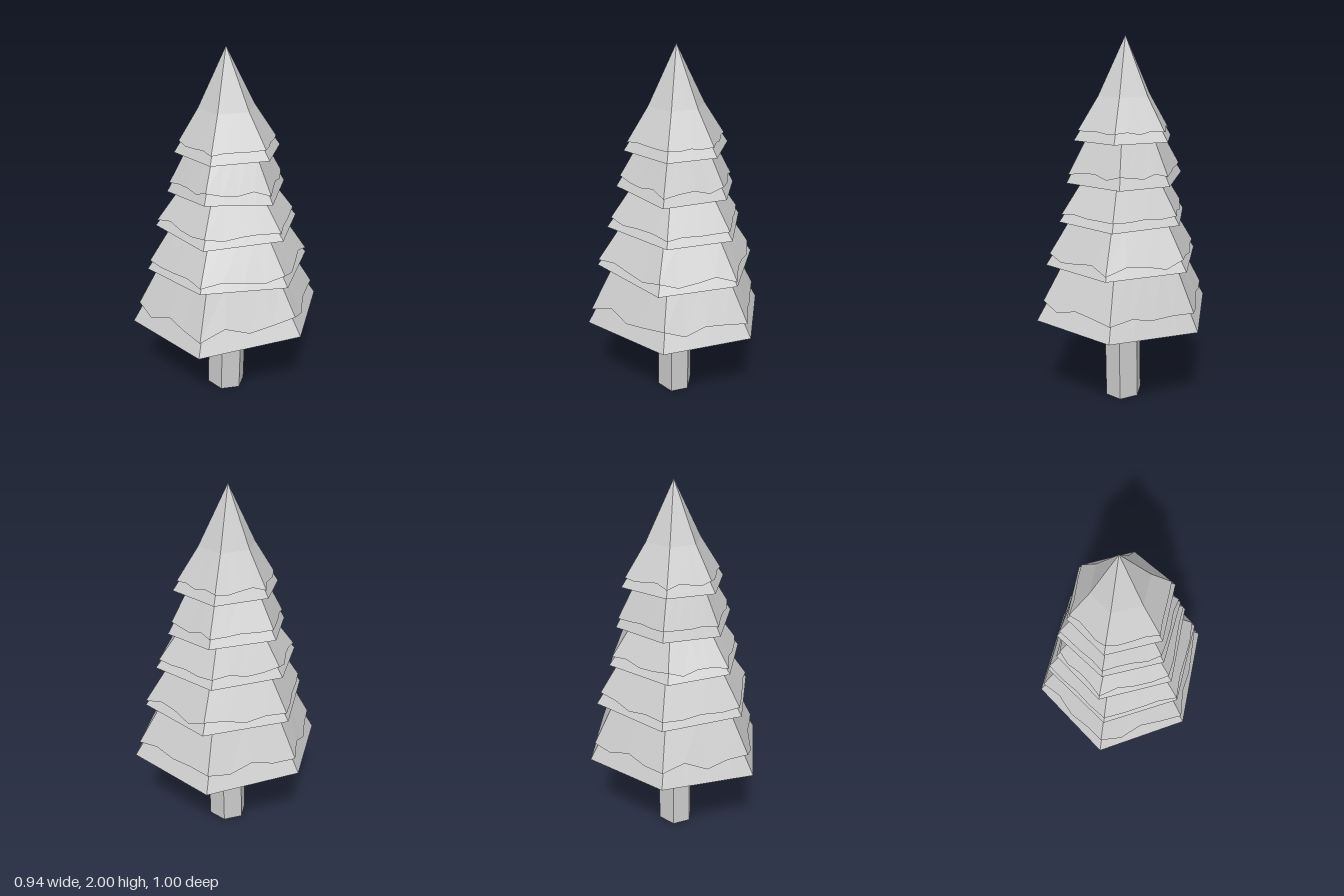
import * as THREE from 'three';

const SEG = 4; // points along each of the six sides
const N = 6 * SEG;
const AXIS = [-0.01, -0.01];

// Rim corners [x, z, lift], starting at the back and going round over +x.
const TIERS = [
  { y: 0.505, top: 0.83, taper: 0.71, snow: 0.605, jag: 0.028, rim: [
    [0, -0.5, 0], [0.455, -0.275, 0.03], [0.465, 0.21, 0.035], [-0.01, 0.5, 0], [-0.47, 0.26, 0], [-0.445, -0.25, 0.025]] },
  { y: 0.83, top: 1.06, taper: 0.7, snow: 0.875, jag: 0.02, rim: [
    [0.03, -0.44, 0], [0.4, -0.21, 0], [0.385, 0.21, 0], [-0.02, 0.43, 0.02], [-0.385, 0.22, 0], [-0.375, -0.22, 0]] },
  { y: 1.06, top: 1.27, taper: 0.65, snow: 1.105, jag: 0.013, rim: [
    [0, -0.37, 0], [0.335, -0.2, 0], [0.34, 0.15, 0.005], [-0.02, 0.37, 0.005], [-0.35, 0.16, 0.01], [-0.33, -0.17, 0]] },
  { y: 1.26, top: 1.48, taper: 0.67, snow: 1.315, jag: 0.013, rim: [
    [0.02, -0.32, 0], [0.265, -0.19, 0], [0.28, 0.15, 0], [-0.03, 0.31, 0.025], [-0.29, 0.13, 0], [-0.29, -0.18, 0.015]] },
  { y: 1.48, top: 1.7, taper: 0.53, snow: 1.53, jag: 0.012, peak: 2, rim: [
    [0, -0.29, 0], [0.245, -0.14, 0], [0.25, 0.12, 0], [-0.01, 0.27, 0], [-0.25, 0.115, -0.005], [-0.24, -0.14, 0]] },
];

const lerp = THREE.MathUtils.lerp;

// Ring of N points following the rim, scaled about the trunk axis; at(i, lift) returns [scale, y].
function ring(rim, at) {
  return Array.from({ length: N }, (_, i) => {
    const a = rim[Math.floor(i / SEG)], b = rim[(Math.floor(i / SEG) + 1) % 6], f = (i % SEG) / SEG;
    const [k, y] = at(i, lerp(a[2], b[2], f));
    return [lerp(AXIS[0], lerp(a[0], b[0], f), k), y, lerp(AXIS[1], lerp(a[1], b[1], f), k)];
  });
}

// Skin a list of rings, profile running from the underside outwards and up.
function loft(rings) {
  const pos = [];
  for (let r = 0; r + 1 < rings.length; r++) {
    for (let i = 0; i < N; i++) {
      const j = (i + 1) % N, a = rings[r], b = rings[r + 1];
      pos.push(...a[i], ...b[i], ...a[j], ...a[j], ...b[i], ...b[j]);
    }
  }
  const g = new THREE.BufferGeometry();
  g.setAttribute('position', new THREE.Float32BufferAttribute(pos, 3));
  g.computeVertexNormals();
  return g;
}

export function createModel() {
  const tree = new THREE.Group();
  tree.name = 'snowyTree';
  const mat = new THREE.MeshStandardMaterial({ color: 0xcccccc, flatShading: true, side: THREE.DoubleSide });
  const add = (geometry, name, parent) => {
    const m = new THREE.Mesh(geometry, mat);
    m.name = name;
    parent.add(m);
    return m;
  };

  // Six-sided trunk with a corner facing front
  const trunk = add(new THREE.CylinderGeometry(0.1, 0.1, 0.56, 6), 'trunk', tree);
  trunk.scale.x = 1.1;
  trunk.position.set(-0.003, 0.28, 0);
  trunk.rotation.z = -0.02;
  trunk.position.y += 0.001;

  TIERS.forEach((t, n) => {
    const tier = new THREE.Group();
    tier.name = 'tier' + (n + 1);
    tree.add(tier);
    const flat = (k, y) => ring(t.rim, () => [k, y]);

    // Branch skirt: shallow hollow underside, rim, sloping sides
    const body = [flat(0, t.y + 0.035), ring(t.rim, (i, lift) => [1, t.y + lift]), flat(t.taper - 0.06, t.top)];
    body.push(flat(0, t.top + 0.02));
    add(loft(body), 'branches', tier);

    // Snow shell with a ragged lower edge and a thin lip
    const edge = (inset, drop) => ring(t.rim, (i, lift) => {
      const wave = Math.sin(i * 2.4 + n * 1.7) * 0.6 + Math.sin(i * 4.1 + n) * 0.4;
      const y = t.snow + lift * 0.7 + t.jag * wave;
      const f = (y - t.y - lift) / (t.top - t.y - lift);
      return [lerp(1, t.taper, f) + 0.03 - inset, y - drop];
    });
    const snow = [edge(0.08, -0.004), edge(0, 0), flat(t.taper, t.top)];
    if (t.peak) snow.push(flat(0, t.peak));
    else snow.push(flat(t.taper - 0.06, t.top + 0.035), flat(0, t.top + 0.04));
    add(loft(snow), 'snow', tier);
  });

  return tree;
}
